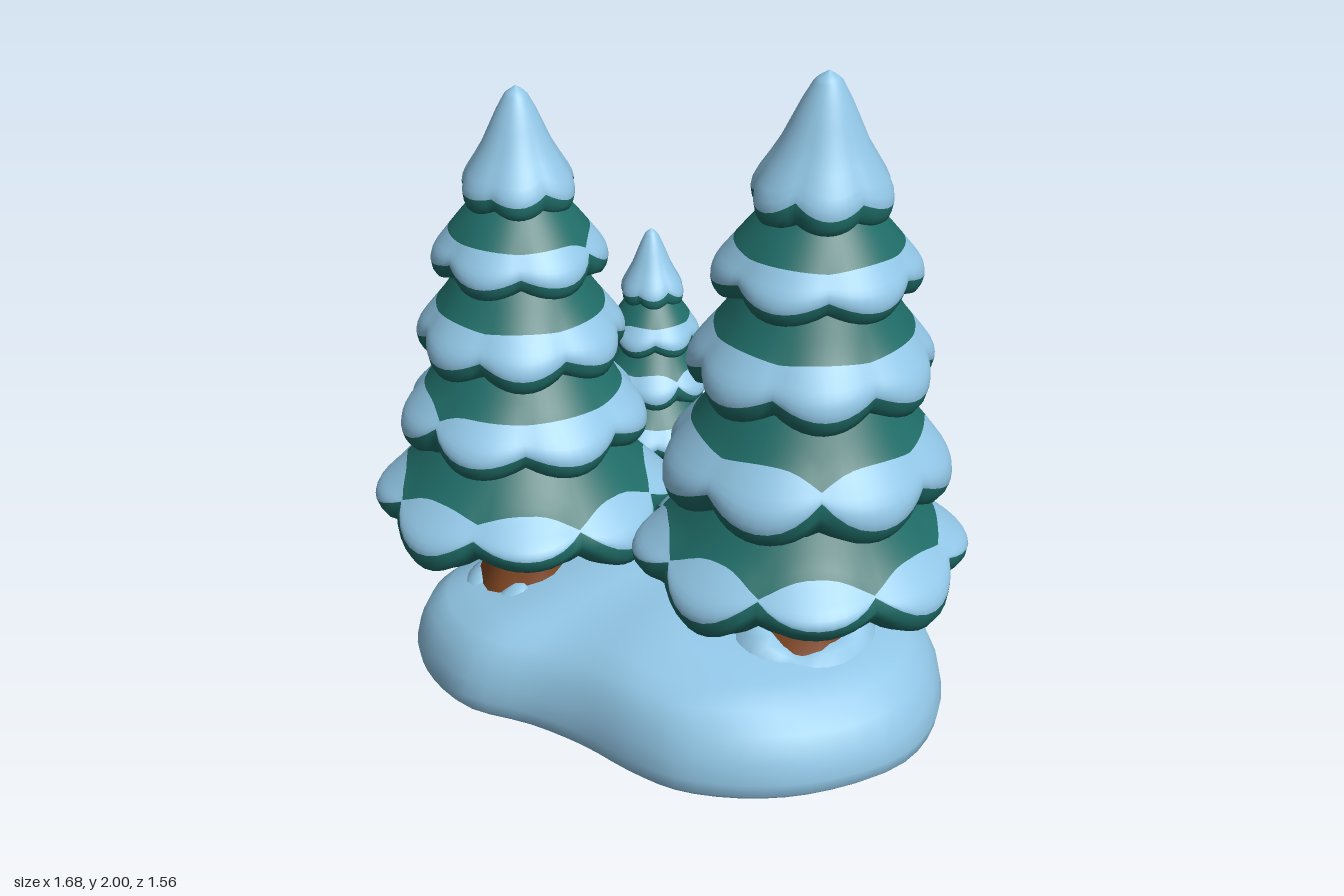
import * as THREE from 'three';

const mat = (name, color) => {
  const m = new THREE.MeshStandardMaterial({ color });
  m.name = name;
  return m;
};

// Small repeatable hash in 0..1
const hash = (n) => {
  const s = Math.sin(n * 127.1 + 11.7) * 43758.5453;
  return s - Math.floor(s);
};

// Closed rings of points joined bottom to top; bands = [firstRow, lastRow, materialIndex]
function loft(rows, cols, point, bands = [[0, rows, 0]]) {
  const pos = [], index = [], geo = new THREE.BufferGeometry();
  for (let j = 0; j <= rows; j++)
    for (let i = 0; i < cols; i++) pos.push(...point(j, i));
  for (const [from, to, material] of bands) {
    const start = index.length;
    for (let j = from; j < to; j++)
      for (let i = 0; i < cols; i++) {
        const a = j * cols + i, b = j * cols + (i + 1) % cols;
        index.push(a, a + cols, b, b, a + cols, b + cols);
      }
    geo.addGroup(start, index.length - start, material);
  }
  geo.setAttribute('position', new THREE.Float32BufferAttribute(pos, 3));
  geo.setIndex(index);
  geo.computeVertexNormals();
  return geo;
}

const curve2 = (pts) => new THREE.CatmullRomCurve3(pts.map(([x, y]) => new THREE.Vector3(x, y, 0)));

// One scalloped ring of branches: green lip, snow band, green upper slope
function branchTier(tree, k, materials) {
  const R = tree.radii[k], y0 = tree.levels[k], cap = k === tree.levels.length - 1;
  const H = (cap ? tree.top : tree.levels[k + 1]) - y0;
  const under = k ? [[.3, .22], [.7, .12]] : [[.15, .5], [.7, .25]];
  const profile = curve2(cap
    ? [[.3, .12], [.7, .08], [.9, 0], [.97, .05], [1, .15], [.9, .27], [.64, .47], [.42, .7], [.2, .92], [0, 1]]
    : [...under, [.92, 0], [1, .13], [.99, .33], [.87, .54], [.73, .75], [.6 * tree.radii[k + 1] / R, 1.2]]);
  const n = [8, 7, 7, 6, 6][k], cols = n * 10, seed = tree.seed + k * 13;
  const phase = Math.PI / 2 - (k % 2 ? 0 : Math.PI / n); // lobes alternate from tier to tier
  const low = 6, high = 13, rows = 17;

  const geo = loft(rows, cols, (j, i) => {
    const a = i / cols * Math.PI * 2 + phase, u = i / cols * n;
    const lobe = Math.floor(u), bump = Math.sin((u - lobe) * Math.PI); // 1 mid lobe, 0 in a notch
    const r1 = hash(seed + lobe * 3.7), notch = hash(seed + Math.round(u) % n * 5.3);
    // Snow edges wander; on the lowest tier the snow breaks into separate patches
    let s0, s1;
    if (cap) {
      s0 = (3.6 + .7 * notch * (1 - bump) + .3 * r1 * bump) / 9;
      s1 = 8 / 9;
    } else {
      const gap = k === 0 ? (notch > .3 ? 1 : .5) : (notch > .85 ? .8 : .05);
      const close = gap * Math.pow(1 - bump, k === 0 ? 1.6 : 2);
      s0 = (k === 0 ? 3.85 : 3.6) - (.2 + .25 * r1) * bump;
      s1 = 5.4 + (.1 + .2 * r1) * bump;
      s0 += (4.5 - s0) * close;
      s1 += (4.6 - s1) * close;
      s0 /= 7; s1 /= 7;
    }
    const t = j <= low ? s0 * j / low
      : j <= high ? s0 + (s1 - s0) * (j - low) / (high - low)
      : s1 + (1 - s1) * (j - high) / (rows - high);
    const p = profile.getPoint(Math.min(t, 1));
    const fade = Math.max(0, 1 - Math.max(0, p.y - .1) / .8) * Math.min(1, p.x * 1.2);
    const r = R * p.x * (1 - fade * ((1 - bump) * .12 + r1 * .03 * bump));
    // Notches lift the lip; on the lowest tier every second lobe hangs lower
    const lift = (1 - bump) * (cap ? .05 : .11) + (k === 0 ? .08 * (1 + Math.cos(a * 4)) : 0);
    const y = y0 + H * (p.y + fade * fade * lift);
    const [cx, cz] = tree.axis(y);
    return [cx + Math.cos(a) * r, y, cz + Math.sin(a) * r];
  }, cap ? [[0, low, 0], [low, rows, 1]] : [[0, low, 0], [low, high, 1], [high, rows, 0]]);
  const mesh = new THREE.Mesh(geo, materials);
  mesh.name = cap ? 'snowyTreetop' : 'branchTier' + (k + 1);
  return mesh;
}

function pineTree(tree, snow, green, bark) {
  const g = new THREE.Group();
  g.name = tree.name;
  const [x0, z0] = tree.axis(tree.ground);
  // Flared, slightly ridged trunk
  const flare = curve2([[1.25, 0], [1.02, .22], [.87, .5], [.78, 1]]);
  const height = tree.levels[0] + .15 - tree.ground;
  const trunk = new THREE.Mesh(loft(8, 20, (j, i) => {
    const a = i / 20 * Math.PI * 2, p = flare.getPoint(j / 8);
    const r = tree.trunk * p.x * (1 + .05 * Math.sin(a * 5 + tree.seed));
    const y = tree.ground + p.y * height, [cx, cz] = tree.axis(y);
    return [cx + Math.cos(a) * r, y, cz + Math.sin(a) * r];
  }), bark);
  trunk.name = 'trunk';
  // Uneven collar of snow drifted against the foot
  const drift = [[1.8, -.6], [1.55, .05], [1.3, .4], [1.1, .55], [.8, .5]];
  const collar = new THREE.Mesh(loft(drift.length - 1, 30, (j, i) => {
    const a = i / 30 * Math.PI * 2, [s, h] = drift[j];
    const wave = .55 + .3 * Math.sin(a * 3 + tree.seed) + .2 * Math.sin(a * 5 + tree.seed * 2);
    const r = tree.trunk * s;
    return [x0 + Math.cos(a) * r, tree.ground + tree.trunk * (h > 0 ? h * wave * 1.1 : h), z0 + Math.sin(a) * r];
  }), snow);
  collar.name = 'snowDrift';
  g.add(trunk, collar);
  tree.levels.forEach((_, k) => g.add(branchTier(tree, k, [green, snow])));
  return g;
}

// Kidney-shaped snow mound, lower towards the back and the right
function snowMound(snow) {
  const outline = new THREE.CatmullRomCurve3([
    [.795, .2], [.75, .45], [.63, .63], [.4, .74], [.2, .76], [0, .71], [-.13, .61], [-.27, .46],
    [-.42, .34], [-.6, .24], [-.7, .08], [-.735, -.08], [-.7, -.25], [-.61, -.42], [-.45, -.59],
    [-.25, -.7], [0, -.745], [.17, -.71], [.28, -.63], [.37, -.46], [.48, -.29], [.64, -.14], [.76, .03],
  ].map(([x, z]) => new THREE.Vector3(x, 0, z)), true);
  const rings = [[0, .005], [.97, .005], [.97, .005], [.99, .02], [1, .06], [.985, .12], [.945, .19], [.875, .24],
    [.77, .275], [.6, .305], [.4, .325], [.2, .335], [0, .338]];
  const cols = 72, edge = outline.getPoints(cols);
  const mesh = new THREE.Mesh(loft(rings.length - 1, cols, (j, i) => {
    const [s, h] = rings[j], x = .02 + (edge[i].x - .02) * s, z = edge[i].z * s;
    const back = THREE.MathUtils.smoothstep(-z, .1, .58), side = THREE.MathUtils.smoothstep(-x, .15, .6);
    const ripple = 1 + .035 * Math.sin(x * 9 + z * 5) * Math.sin(z * 8 - 1);
    return [x, h * (1 - .32 * back) * (1 - .1 * side) * ripple, z];
  }), snow);
  mesh.name = 'snowMound';
  return mesh;
}

export function createModel() {
  const snow = mat('snow', 0x94caea), green = mat('pineGreen', 0x1f6c67), bark = mat('bark', 0x7f4521);
  // Straight, slightly leaning axis from [x, z] near the ground to [x, z] at the tip
  const lean = (a, b, top) => (y) => [a[0] + (b[0] - a[0]) * y / top, a[1] + (b[1] - a[1]) * y / top];
  const trees = [
    { name: 'largeTree', seed: 1, top: 2, ground: .27, trunk: .15,
      levels: [.46, .76, 1.08, 1.37, 1.6], radii: [.475, .41, .345, .285, .2],
      axis: lean([.35, .28], [.4, .38], 2) },
    { name: 'mediumTree', seed: 2.6, top: 1.78, ground: .22, trunk: .125,
      levels: [.445, .73, .98, 1.23, 1.44], radii: [.445, .36, .305, .25, .17],
      axis: lean([-.4, -.09], [-.4, -.15], 1.78) },
    { name: 'smallTree', seed: 5.2, top: 1.15, ground: .16, trunk: .095,
      levels: [.31, .48, .64, .79, .93], radii: [.27, .215, .175, .145, .1],
      axis: lean([.005, -.475], [0, -.59], 1.15) },
  ];
  const model = new THREE.Group();
  model.name = 'snowyPines';
  model.add(snowMound(snow), ...trees.map((t) => pineTree(t, snow, green, bark)));
  return model;
}
